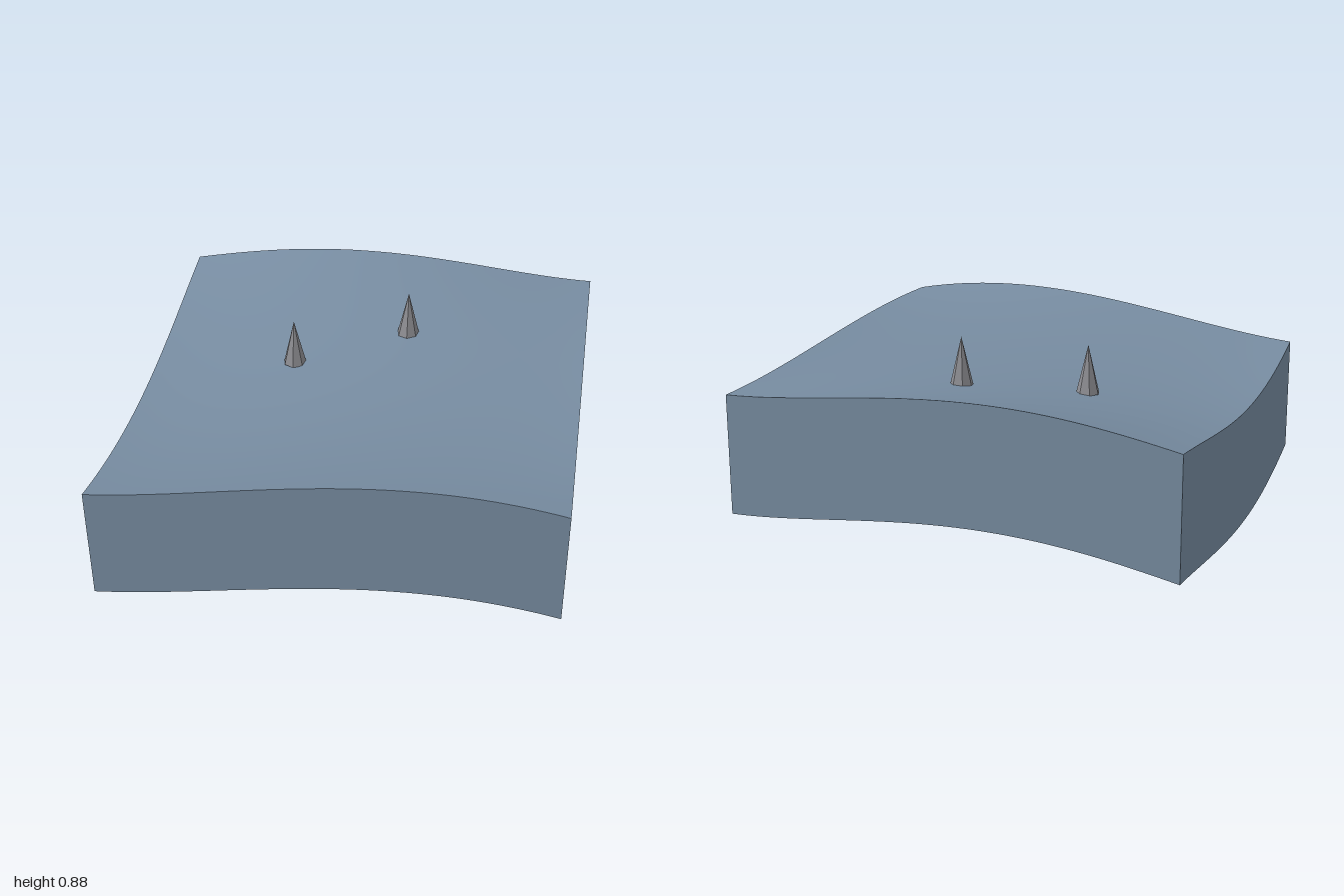
import * as THREE from 'three';

// Smooth curve through five evenly spaced heights over [-1, 1]
const KNOTS = [-1, -0.5, 0, 0.5, 1];
function curve(heights, t) {
  return heights.reduce((sum, h, i) => sum + KNOTS.reduce(
    (p, k, j) => (i === j ? p : p * (t - k) / (KNOTS[i] - k)), h), 0);
}

const FRONT = [0.643, 0.717, 0.8, 0.832, 0.778];
const BACK = [0.643, 0.733, 0.757, 0.721, 0.686];
const LEFT_EDGE = [0.643, 0.581, 0.538, 0.554, 0.643]; // x = -1, from back to front
const RIGHT_EDGE = [0.686, 0.703, 0.741, 0.772, 0.778]; // x = +1, from back to front
const DEPTH = 0.533;
const mix = THREE.MathUtils.lerp;

// Ground height: blend of the four edge curves with a shallow sag in the middle
function height(x, z) {
  const u = (x + 1) / 2, v = (z + 1) / 2;
  const across = mix(curve(LEFT_EDGE, z), curve(RIGHT_EDGE, z), u);
  const along = mix(curve(BACK, x), curve(FRONT, x), v);
  const corners = mix(mix(BACK[0], BACK[4], u), mix(FRONT[0], FRONT[4], u), v);
  return across + along - corners - 0.087 * (1 - x * x) * (1 - z * z);
}

function reshape(geometry, rule) {
  const p = geometry.attributes.position;
  for (let i = 0; i < p.count; i++) p.setXYZ(i, ...rule(p.getX(i), p.getY(i), p.getZ(i)));
  geometry.computeVertexNormals();
  return geometry;
}

export function createModel() {
  const model = new THREE.Group();
  const slate = new THREE.MeshStandardMaterial({ color: 0x778ca1, side: THREE.DoubleSide });
  slate.name = 'slate blue';
  const stone = new THREE.MeshStandardMaterial({ color: 0x8c8c91, flatShading: true });
  stone.name = 'stone grey';

  const add = (name, geometry, material) => {
    const mesh = new THREE.Mesh(geometry, material);
    mesh.name = name;
    model.add(mesh);
    return mesh;
  };

  // Rolling top surface
  const ground = new THREE.PlaneGeometry(2, 2, 40, 40).rotateX(-Math.PI / 2);
  add('terrainTop', reshape(ground, (x, y, z) => [x, height(x, z), z]), slate);

  // Thin skirt walls that follow each edge; the underside stays open
  ['frontWall', 'rightWall', 'backWall', 'leftWall'].forEach((name, i) => {
    const angle = [0, 1, 2, 3][i] * Math.PI / 2;
    const wall = new THREE.PlaneGeometry(2, 1, 40, 1).translate(0, 0, 1).rotateY(angle);
    add(name, reshape(wall, (x, y, z) => [x, height(x, z) - (y < 0 ? DEPTH : 0), z]), slate);
  });

  // Two faceted spikes standing in the hollow
  [[-0.335, -0.165, 0.83], [0.165, -0.415, 0.88]].forEach(([x, z, tip], i) => {
    const spike = add(`spike${i + 1}`, new THREE.ConeGeometry(0.053, 0.22, 7), stone);
    spike.position.set(x, tip - 0.11, z);
  });
  return model;
}
